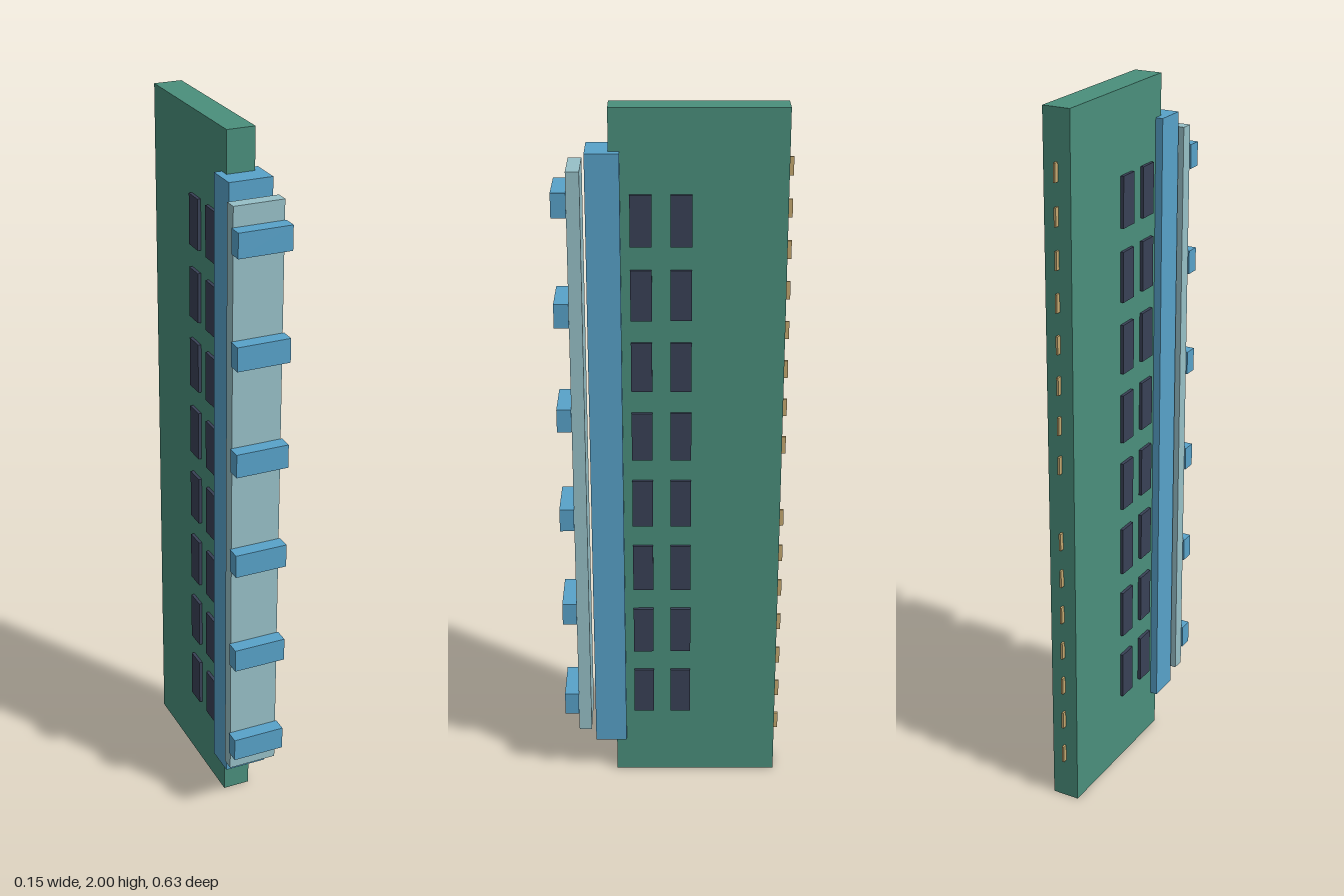
import * as THREE from 'three';

export function createModel() {
  const model = new THREE.Group();
  model.name = 'circuitModule';

  const material = (name, color) => {
    const m = new THREE.MeshStandardMaterial({ color });
    m.name = name;
    return m;
  };
  const green = material('boardGreen', 0x4a8f7c);
  const blue = material('clampBlue', 0x58a2c9);
  const pale = material('plateGrey', 0x97c0c7);
  const dark = material('chipDark', 0x394156);
  const gold = material('contactGold', 0xc4a870);

  // Box given by its limits on each axis
  const box = (name, mat, [x0, x1], [y0, y1], [z0, z1]) => {
    const mesh = new THREE.Mesh(new THREE.BoxGeometry(x1 - x0, y1 - y0, z1 - z0), mat);
    mesh.position.set((x0 + x1) / 2, (y0 + y1) / 2, (z0 + z1) / 2);
    mesh.name = name;
    model.add(mesh);
  };
  const around = (c, size) => [c - size / 2, c + size / 2];

  // Upright board, front rail and spreader plate
  box('board', green, [-0.039, 0.039], [0, 2], [-0.302, 0.164]);
  box('rail', blue, [-0.06, 0.06], [0.116, 1.887], [0.135, 0.225]);
  box('plate', pale, [-0.07, 0.07], [0.16, 1.843], [0.237, 0.273]);

  // Cross bars on the plate
  for (let i = 0; i < 6; i++) {
    box('crossBar', blue, [-0.0745, 0.0745], around(0.25 + i * 0.301, 0.067), [0.273, 0.313]);
  }

  // Two columns of chips on each side of the board
  for (let i = 0; i < 8; i++) {
    for (const z of [-0.024, 0.082]) {
      const y = around(0.279 + i * 0.2037, 0.14);
      box('chipLeft', dark, [0.039, 0.048], y, around(z, 0.057));
      box('chipRight', dark, [-0.048, -0.039], y, around(z, 0.057));
    }
  }

  // Contacts along the back edge, with a keying gap
  for (let i = 0; i < 16; i++) {
    if (i === 7) continue;
    box('contact', gold, [-0.003, 0.003], around(0.146 + i * 0.1129, 0.05), [-0.315, -0.302]);
  }

  return model;
}
